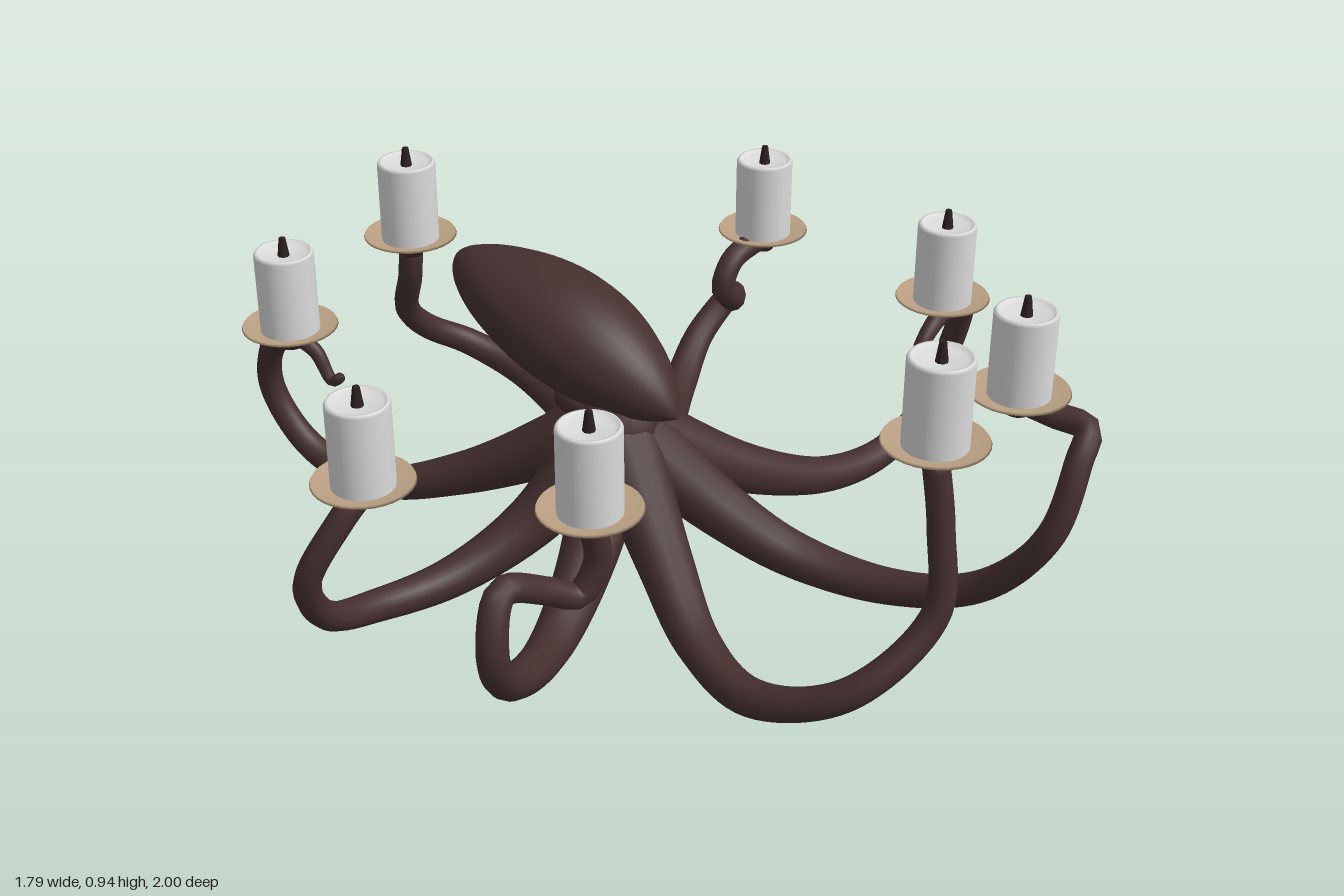
import * as THREE from 'three';
import { mergeVertices } from 'three/addons/utils/BufferGeometryUtils.js';

const { lerp, clamp } = THREE.MathUtils;
const skin = new THREE.MeshStandardMaterial({ name: 'brown skin', color: 0x452f2f });
const wax = new THREE.MeshStandardMaterial({ name: 'white wax', color: 0xdadada });
const brass = new THREE.MeshStandardMaterial({ name: 'tan dish', color: 0xbaa083 });
const char = new THREE.MeshStandardMaterial({ name: 'dark wick', color: 0x2c2020 });

const CORE = new THREE.Vector3(-0.03, 0.4, -0.09);
const vec = (x, y, z) => new THREE.Vector3(x, y, z);

function mesh(name, geometry, material) {
  const m = new THREE.Mesh(geometry, material);
  m.name = name;
  return m;
}

// drop seams so that normals run smoothly round
function smooth(geo) {
  geo.deleteAttribute('uv');
  geo.deleteAttribute('normal');
  const merged = mergeVertices(geo, 1e-5);
  merged.computeVertexNormals();
  return merged;
}

// tube whose radius follows a rule along its length
function taperTube(points, radiusAt, segments) {
  const curve = new THREE.CatmullRomCurve3(points);
  const sides = 12;
  const geo = new THREE.TubeGeometry(curve, segments, 1, sides);
  const pos = geo.attributes.position, v = vec();
  for (let i = 0; i <= segments; i++) {
    const c = curve.getPointAt(i / segments);
    const r = i === segments ? 0.001 : radiusAt(i / segments);
    for (let j = 0; j <= sides; j++) {
      const k = i * (sides + 1) + j;
      v.fromBufferAttribute(pos, k).sub(c).multiplyScalar(r).add(c);
      pos.setXYZ(k, v.x, v.y, v.z);
    }
  }
  return smooth(geo);
}

const armRadius = (t) => 0.031 + 0.069 * Math.pow(1 - t, 2.5);
const tipRadius = (t) => lerp(0.027, 0.013, t);

const lathe = (pts, n) => new THREE.LatheGeometry(pts.map(([x, y]) => new THREE.Vector2(x, y)), n);

// socket, dish, candle with a hollowed top, and wick
function candleHolder(name) {
  const g = new THREE.Group();
  g.name = name + 'CandleHolder';
  const socket = lathe([[0.001, -0.05], [0.028, -0.045], [0.036, -0.03], [0.05, -0.012], [0.001, -0.008]], 16);
  const dish = lathe([[0.001, -0.02], [0.06, -0.018], [0.118, 0.01], [0.115, 0.016], [0.08, 0.003], [0.001, 0.002]], 32);
  const candle = lathe([[0.073, 0], [0.073, 0.205], [0.069, 0.212], [0.063, 0.212], [0.055, 0.203], [0.001, 0.199]], 32);
  const wick = new THREE.CylinderGeometry(0.008, 0.015, 0.05, 8).translate(0, 0.222, 0);
  g.add(mesh('socket', socket, skin), mesh('dish', dish, brass), mesh('candle', candle, wax), mesh('wick', wick, char));
  return g;
}

// one arm from the body to its candle, through the given bends
function arm(name, dish, ...bends) {
  const g = new THREE.Group();
  g.name = name + 'Arm';
  const end = dish.clone().setY(dish.y - 0.01);
  const holder = candleHolder(name);
  holder.position.copy(dish);
  g.add(mesh('tentacle', taperTube([CORE, ...bends, end], armRadius, 72), skin), holder);
  return g;
}

const curledTip = (...points) => mesh('curledTip', taperTube(points, tipRadius, 32), skin);

// mantle: elliptical sections along z, rising towards a blunt back
function mantleGeometry() {
  const geo = new THREE.CylinderGeometry(1, 1, 1, 28, 40, true).rotateX(Math.PI / 2);
  const pos = geo.attributes.position;
  for (let i = 0; i < pos.count; i++) {
    const u = clamp(0.5 - pos.getZ(i), 0, 1);
    const t = (1 - Math.cos(Math.PI * u)) / 2;
    const swell = Math.max(Math.sin(Math.PI * t), 1e-4);
    const halfWidth = 0.155 * Math.pow(swell, lerp(0.63, 0.56, t));
    const halfHeight = 0.155 * Math.pow(swell, lerp(0.65, 0.43, t)) * lerp(1.04, 0.74, t);
    const centreY = 0.48 + 0.205 * Math.pow(t, 0.62);
    pos.setXYZ(i, CORE.x + pos.getX(i) * halfWidth, centreY + pos.getY(i) * halfHeight, lerp(0.1, -0.597, t));
  }
  return smooth(geo);
}

export function createModel() {
  const model = new THREE.Group();
  model.name = 'octopusCandelabra';

  // head and body
  const body = mesh('body', lathe([[0.001, 0.23], [0.1, 0.225], [0.165, 0.24], [0.13, 0.34], [0.105, 0.42], [0.1, 0.5], [0.001, 0.55]], 24), skin);
  body.position.set(CORE.x, 0, -0.08);
  model.add(mesh('mantle', mantleGeometry(), skin), body);
  for (const side of [-1, 1]) {
    const eye = mesh(side < 0 ? 'rightEye' : 'leftEye', new THREE.SphereGeometry(0.04, 16, 12), skin);
    eye.position.set(CORE.x + side * 0.072, 0.475, -0.16);
    eye.scale.z = 1.4;
    model.add(eye);
  }

  // front pair
  model.add(arm('frontRight', vec(-0.08, 0.695, 0.82),
    vec(-0.17, 0.18, 0.17), vec(-0.265, 0.07, 0.35), vec(-0.32, 0.045, 0.54), vec(-0.27, 0.13, 0.76), vec(-0.11, 0.3, 0.87), vec(-0.08, 0.5, 0.85)));
  model.add(arm('frontLeft', vec(0.33, 0.628, 0.79),
    vec(0.08, 0.19, 0.16), vec(0.15, 0.095, 0.32), vec(0.205, 0.075, 0.56), vec(0.23, 0.16, 0.79), vec(0.24, 0.36, 0.95), vec(0.31, 0.53, 0.965), vec(0.365, 0.58, 0.95), vec(0.36, 0.59, 0.87)));

  // left side pair
  const curlingArm = arm('sideFrontLeft', vec(0.74, 0.565, 0.34),
    vec(0.25, 0.21, 0.1), vec(0.48, 0.12, 0.19), vec(0.68, 0.115, 0.235), vec(0.82, 0.19, 0.26), vec(0.862, 0.36, 0.3), vec(0.82, 0.53, 0.35));
  curlingArm.add(curledTip(vec(0.78, 0.54, 0.35), vec(0.67, 0.53, 0.36), vec(0.61, 0.47, 0.36), vec(0.65, 0.425, 0.36), vec(0.69, 0.45, 0.36)));
  model.add(curlingArm);
  model.add(arm('sideBackLeft', vec(0.77, 0.575, -0.24),
    vec(0.28, 0.19, -0.21), vec(0.5, 0.2, -0.31), vec(0.65, 0.28, -0.355), vec(0.75, 0.37, -0.33), vec(0.65, 0.42, -0.25), vec(0.61, 0.47, -0.25), vec(0.65, 0.535, -0.25)));

  // back pair
  model.add(arm('backLeft', vec(0.02, 0.665, -0.81),
    vec(0.18, 0.18, -0.36), vec(0.27, 0.17, -0.54), vec(0.3, 0.2, -0.71), vec(0.25, 0.26, -0.845), vec(0.15, 0.33, -0.9), vec(0.07, 0.42, -0.89), vec(0.03, 0.55, -0.83)));
  const hookedArm = arm('backRight', vec(-0.37, 0.547, -0.85),
    vec(-0.18, 0.19, -0.46), vec(-0.28, 0.13, -0.68), vec(-0.32, 0.18, -0.87), vec(-0.345, 0.33, -0.97), vec(-0.365, 0.47, -0.93));
  hookedArm.add(curledTip(vec(-0.365, 0.45, -0.94), vec(-0.31, 0.48, -0.965), vec(-0.275, 0.44, -0.88), vec(-0.268, 0.365, -0.83), vec(-0.268, 0.39, -0.79)));
  model.add(hookedArm);

  // right side pair
  model.add(arm('sideBackRight', vec(-0.74, 0.515, -0.22),
    vec(-0.22, 0.17, -0.2), vec(-0.42, 0.08, -0.28), vec(-0.62, 0.08, -0.335), vec(-0.78, 0.14, -0.33), vec(-0.862, 0.29, -0.295), vec(-0.8, 0.44, -0.24)));
  model.add(arm('sideFrontRight', vec(-0.55, 0.545, 0.27),
    vec(-0.25, 0.19, 0.01), vec(-0.5, 0.09, 0.1), vec(-0.74, 0.17, 0.19), vec(-0.815, 0.3, 0.22), vec(-0.76, 0.42, 0.2), vec(-0.64, 0.37, 0.22), vec(-0.57, 0.335, 0.25), vec(-0.53, 0.41, 0.27)));
  return model;
}
